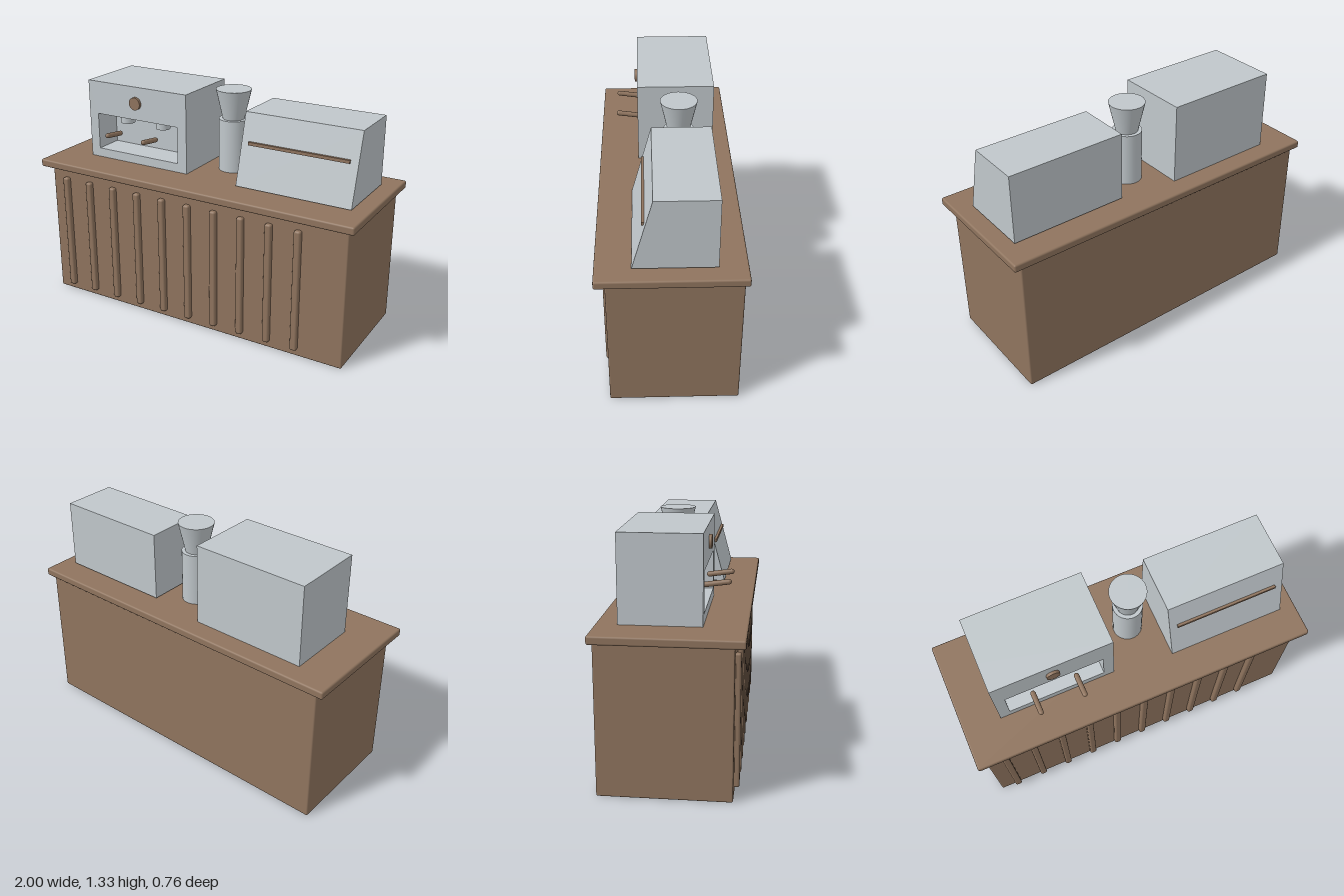
import * as THREE from 'three';
import { RoundedBoxGeometry } from 'three/addons/geometries/RoundedBoxGeometry.js';

export function createModel() {
  const wood = new THREE.MeshStandardMaterial({ color: 0x8f745e });
  wood.name = 'warm wood';
  const metal = new THREE.MeshStandardMaterial({ color: 0xc0c7cb });
  metal.name = 'pale metal';

  const model = new THREE.Group();
  model.name = 'coffeeCounter';

  const group = (name) => {
    const g = new THREE.Group();
    g.name = name;
    model.add(g);
    return g;
  };
  const add = (parent, name, geometry, material, x = 0, y = 0, z = 0) => {
    const mesh = new THREE.Mesh(geometry, material);
    mesh.name = name;
    mesh.position.set(x, y, z);
    parent.add(mesh);
    return mesh;
  };
  const rectangle = (Type, x0, y0, x1, y1) => {
    const path = new Type();
    path.moveTo(x0, y0);
    path.lineTo(x1, y0);
    path.lineTo(x1, y1);
    path.lineTo(x0, y1);
    path.closePath();
    return path;
  };

  // Counter: softened body, overhanging top and ten front slats
  const counter = group('counter');
  add(counter, 'counterBody', new RoundedBoxGeometry(1.91, 0.81, 0.69, 2, 0.008), wood, 0, 0.405, -0.017);
  add(counter, 'counterTop', new RoundedBoxGeometry(2, 0.045, 0.764, 2, 0.01), wood, 0, 0.83, 0);
  for (let i = 0; i < 10; i++) {
    add(counter, 'frontSlat', new RoundedBoxGeometry(0.04, 0.71, 0.036, 2, 0.012), wood,
      -0.848 + i * 0.1885 * 0.9, 0.395, 0.337);
  }

  // Brewing machine: front frame around a recess, with a solid back
  const brewer = group('brewingMachine');
  const frame = rectangle(THREE.Shape, -0.785, 0.852, -0.11, 1.315);
  frame.holes.push(rectangle(THREE.Path, -0.725, 0.905, -0.17, 1.12));
  add(brewer, 'brewerFrontFrame',
    new THREE.ExtrudeGeometry(frame, { depth: 0.17, bevelEnabled: false }), metal, 0, 0, -0.01);
  add(brewer, 'brewerBack', new THREE.BoxGeometry(0.675, 0.463, 0.257), metal, -0.4475, 1.0835, -0.1385);

  // Round dial on the front
  const dial = add(brewer, 'dial', new THREE.CylinderGeometry(0.037, 0.037, 0.03, 24), wood, -0.45, 1.219, 0.161);
  dial.rotation.x = Math.PI / 2;

  // Brew heads and their tilted handles
  for (const x of [-0.575, -0.325]) {
    add(brewer, 'brewHead', new THREE.CylinderGeometry(0.042, 0.042, 0.055, 24), metal, x, 1.0945, 0.07);
    const handle = add(brewer, 'brewHandle', new THREE.CapsuleGeometry(0.0145, 0.12, 4, 12), wood, x, 1.028, 0.212);
    handle.rotation.x = Math.PI / 2 - 0.14;
  }

  // Grinder: round body with a flared hopper
  const grinder = group('grinder');
  add(grinder, 'grinderBody', new THREE.CylinderGeometry(0.083, 0.083, 0.305, 32), metal, 0.068, 1.0025, -0.064);
  add(grinder, 'grinderHopper', new THREE.CylinderGeometry(0.101, 0.062, 0.17, 32), metal, 0.068, 1.24, -0.064);

  // Sloped cabinet: side profile drawn as (-z, y), extruded along x
  const cabinet = group('slopedCabinet');
  const profile = new THREE.Shape([
    new THREE.Vector2(-0.196, 0.86),
    new THREE.Vector2(0.232, 0.86),
    new THREE.Vector2(0.232, 1.255),
    new THREE.Vector2(-0.088, 1.255),
  ]);
  const shell = add(cabinet, 'cabinetShell',
    new THREE.ExtrudeGeometry(profile, { depth: 0.677, bevelEnabled: false }), metal, 0.23, 0, 0);
  shell.rotation.y = Math.PI / 2;

  // Trim strip across the slope
  add(cabinet, 'trimStrip', new THREE.BoxGeometry(0.587, 0.018, 0.02), wood, 0.568, 1.095, 0.134);

  return model;
}
